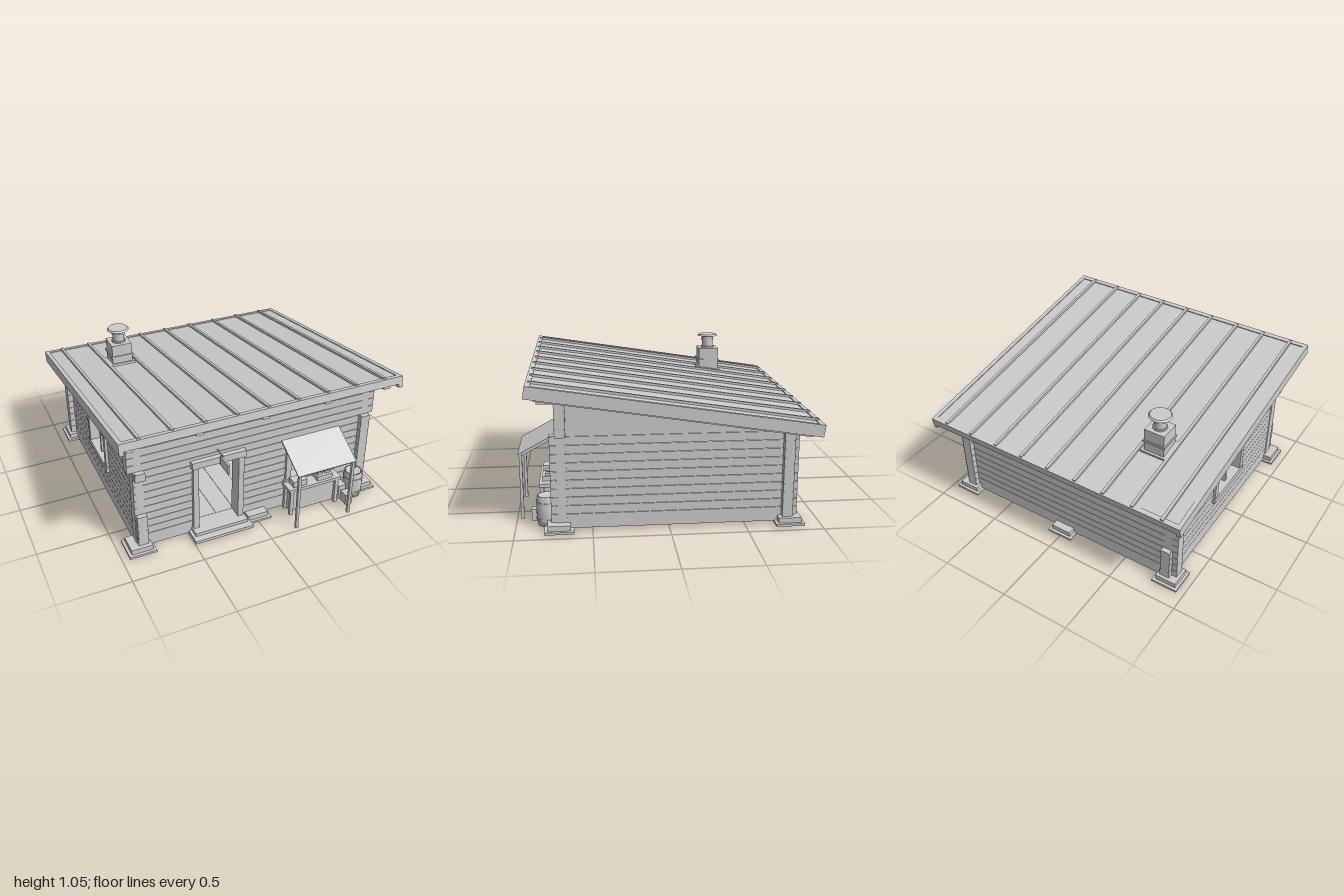
import * as THREE from 'three';

export function createModel() {
  const model = new THREE.Group();
  const grey = new THREE.MeshStandardMaterial({ color: 0xcccccc });
  grey.name = 'plain grey';

  const add = (name, geo, x, y, z, parent = model) => {
    const m = new THREE.Mesh(geo, grey);
    m.name = name;
    m.position.set(x, y, z);
    parent.add(m);
    return m;
  };
  // Box given by its minimum and maximum on each axis
  const box = (name, x0, x1, y0, y1, z0, z1, parent = model) =>
    add(name, new THREE.BoxGeometry(x1 - x0, y1 - y0, z1 - z0),
      (x0 + x1) / 2, (y0 + y1) / 2, (z0 + z1) / 2, parent);
  const group = (name, parent = model) => {
    const g = new THREE.Group();
    g.name = name;
    parent.add(g);
    return g;
  };

  // ---- Log walls: courses of squared logs with recessed chinking ----
  const COURSE = 0.0575, BASE = 0.06;
  const log = (parent, alongX, row, c0, c1, a, b) => {
    const y0 = BASE + row * COURSE, y1 = y0 + COURSE;
    const put = (name, lo, hi, inset) => alongX
      ? box(name, a, b, lo, hi, c0 + inset, c1 - inset, parent)
      : box(name, c0 + inset, c1 - inset, lo, hi, a, b, parent);
    put('log', y0, y1 - 0.003, 0);
    put('chinking', y1 - 0.003, y1, 0.008);
  };

  const front = group('frontWall');
  for (let r = 0; r < 14; r++) {
    let spans = [[-0.91, 0.91]];
    if (r === 9) spans = [[-0.875, 0.875]];
    else if (r < 3) spans = [[-0.875, -0.45], [-0.12, 0.875]];
    else if (r < 8) spans = [[-0.875, -0.45], [-0.12, 0.25], [0.58, 0.875]];
    else if (r < 9) spans = [[-0.875, -0.45], [-0.12, 0.875]];
    spans.forEach(([a, b]) => log(front, true, r, 0.66, 0.73, a, b));
  }
  const back = group('backWall');
  const plusSide = group('leftWall');
  const minusSide = group('rightWall');
  for (let r = 0; r < 10; r++) {
    log(back, true, r, -0.81, -0.74, -0.91, 0.91);
    log(plusSide, false, r, 0.80, 0.87, -0.845, 0.765);
    const spans = r > 3 && r < 9 ? [[-0.81, -0.23], [0.15, 0.73]] : [[-0.845, 0.765]];
    spans.forEach(([a, b]) => log(minusSide, false, r, -0.87, -0.80, a, b));
  }

  // Flat gable panels between the side logs and the sloping roof
  const gable = new THREE.Shape();
  gable.moveTo(0.73, 0.635);
  gable.lineTo(0.73, 0.91);
  gable.lineTo(-0.81, 0.67);
  gable.lineTo(-0.81, 0.635);
  for (const s of [-1, 1]) {
    const g = new THREE.ExtrudeGeometry(gable, { depth: 0.05, bevelEnabled: false });
    g.rotateY(-Math.PI / 2); // shape x becomes z, depth becomes -x
    add('gablePanel', g, s * 0.84 + 0.025, 0, 0);
  }

  // ---- Base: sills, floor and stepped footings ----
  const base = group('base');
  for (const z of [-0.775, 0.695]) box('sill', -0.87, 0.87, 0.018, 0.06, z - 0.035, z + 0.035, base);
  for (const x of [-0.835, 0, 0.835]) box('floorBeam', x - 0.035, x + 0.035, 0.018, 0.06, -0.74, 0.66, base);
  for (let i = 0; i < 12; i++) {
    const w = 1.6 / 12, x = -0.8 + i * w;
    box('floorPlank', x + 0.001, x + w - 0.001, 0.045, 0.062, -0.74, 0.66, base);
  }
  for (const x of [-0.855, 0, 0.855])
    for (const z of [-0.79, 0.715]) {
      box('footingSlab', x - 0.095, x + 0.095, 0.006, 0.022, z - 0.095, z + 0.095, base);
      box('footingBlock', x - 0.075, x + 0.075, 0.022, 0.057, z - 0.075, z + 0.075, base);
    }

  // ---- Sloping roof, built flat and then tilted ----
  const roof = group('roof');
  roof.position.set(0, 0.844, -0.04);
  roof.rotation.x = -Math.atan(0.155);
  const L = 0.947;
  box('roofSheet', -0.985, 0.985, -0.03, -0.006, -L + 0.01, L - 0.01, roof);
  box('frontFascia', -1, 1, -0.055, 0, L - 0.035, L, roof);
  box('backFascia', -1, 1, -0.055, 0, -L, -L + 0.035, roof);
  for (const s of [-1, 1]) {
    const a = s * 0.97, b = s;
    box('bargeBoard', Math.min(a, b), Math.max(a, b), -0.08, 0, -L, L, roof);
  }
  for (const x of [-0.92, -0.46, 0, 0.46, 0.92])
    box('rafter', x - 0.025, x + 0.025, -0.10, -0.03, -L + 0.05, L - 0.06, roof);
  for (let i = -4; i <= 4; i++)
    box('standingSeam', i * 0.217 - 0.01, i * 0.217 + 0.01, -0.01, 0.01, -L + 0.01, L - 0.015, roof);
  box('chimneyFlashing', -0.645, -0.455, -0.01, 0.01, -0.515, -0.335, roof);

  // ---- Chimney ----
  const chimney = group('chimney');
  box('chimneyStack', -0.625, -0.475, 0.74, 0.945, -0.535, -0.385, chimney);
  box('chimneyBand', -0.633, -0.467, 0.845, 0.86, -0.543, -0.377, chimney);
  const cyl = (name, r0, r1, h, x, y, z, parent, n = 24) =>
    add(name, new THREE.CylinderGeometry(r1, r0, h, n), x, y + h / 2, z, parent);
  cyl('flue', 0.042, 0.042, 0.1, -0.55, 0.94, -0.46, chimney);
  cyl('flueCollar', 0.05, 0.05, 0.012, -0.55, 0.945, -0.46, chimney);
  cyl('flueBand', 0.048, 0.048, 0.014, -0.55, 1.005, -0.46, chimney);
  cyl('flueCap', 0.08, 0.07, 0.012, -0.55, 1.04, -0.46, chimney);

  // ---- Door frame, steps and hanging board ----
  const door = group('doorway');
  for (const x of [-0.45, -0.12]) box('doorPost', x - 0.02, x + 0.02, 0.06, 0.57, 0.65, 0.755, door);
  box('doorLintel', -0.48, -0.09, 0.56, 0.61, 0.65, 0.765, door);
  box('lowerStep', -0.5, -0.07, 0.015, 0.037, 0.73, 0.86, door);
  box('upperStep', -0.48, -0.09, 0.037, 0.06, 0.70, 0.81, door);
  box('hangingBoard', -0.292, -0.278, 0.565, 0.635, 0.78, 0.905, door);
  box('boardBracket', -0.289, -0.281, 0.645, 0.653, 0.73, 0.81, door);
  for (const z of [0.79, 0.805]) box('boardHanger', -0.287, -0.283, 0.63, 0.65, z - 0.003, z + 0.003, door);

  // ---- Windows: frame, mullions and sill, facing +z before placing ----
  const windowFrame = (name, w, h, x, y, z, turn) => {
    const g = group(name);
    g.position.set(x, y, z);
    g.rotation.y = turn;
    for (const s of [-1, 1]) {
      box('windowJamb', s * w / 2 - 0.02, s * w / 2 + 0.02, -h / 2, h / 2, -0.075, 0.018, g);
      box('windowRail', -w / 2 - 0.03, w / 2 + 0.03, s * h / 2 - 0.02, s * h / 2 + 0.02, -0.075, 0.022, g);
    }
    box('mullion', -0.012, 0.012, -h / 2, h / 2, -0.04, -0.01, g);
    box('crossBar', -w / 2, w / 2, 0.03, 0.05, -0.04, -0.012, g);
  };
  windowFrame('frontWindow', 0.33, 0.288, 0.415, 0.376, 0.73, 0);
  windowFrame('sideWindow', 0.38, 0.288, -0.87, 0.434, -0.04, -Math.PI / 2);

  // ---- Awning over the stall ----
  const awning = group('awning');
  const tilt = Math.atan2(0.14, 0.255);
  const sheet = add('awningSheet', new THREE.BoxGeometry(0.45, 0.01, 0.285), 0.415, 0.515, 0.855, awning);
  sheet.rotation.x = tilt;
  for (const x of [0.21, 0.625]) {
    box('awningPost', x - 0.01, x + 0.01, 0, 0.45, 0.954, 0.974, awning);
    const brace = add('awningArm', new THREE.BoxGeometry(0.014, 0.014, 0.26), x, 0.505, 0.853, awning);
    brace.rotation.x = tilt;
  }
  box('awningRail', 0.2, 0.635, 0.435, 0.45, 0.957, 0.971, awning);

  // ---- Stall table with goods ----
  const table = group('table');
  box('tableTop', 0.21, 0.62, 0.212, 0.235, 0.735, 0.85, table);
  box('tablePanel', 0.24, 0.6, 0.02, 0.212, 0.745, 0.815, table);
  for (const x of [0.235, 0.595])
    for (const z of [0.75, 0.832]) box('tableLeg', x - 0.013, x + 0.013, 0.01, 0.212, z - 0.012, z + 0.012, table);
  box('goodsBox', 0.25, 0.355, 0.235, 0.28, 0.76, 0.83, table);
  box('goodsTray', 0.44, 0.56, 0.235, 0.27, 0.76, 0.83, table);
  for (const x of [0.47, 0.53]) box('goodsParcel', x - 0.02, x + 0.02, 0.27, 0.288, 0.77, 0.81, table);

  // ---- Barrel and crate ----
  const barrel = group('barrel');
  const profile = [[0, 0.01], [0.06, 0.01], [0.068, 0.06], [0.07, 0.11], [0.068, 0.16], [0.062, 0.212], [0.054, 0.212], [0.054, 0.2], [0, 0.2]];
  add('barrelBody', new THREE.LatheGeometry(profile.map(p => new THREE.Vector2(...p)), 16), 0.76, 0, 0.795, barrel);
  for (const y of [0.05, 0.16]) cyl('barrelHoop', 0.0715, 0.0715, 0.012, 0.76, y, 0.795, barrel, 16);
  box('crate', 0.645, 0.70, 0.01, 0.09, 0.83, 0.9);
  box('smallCrate', 0.635, 0.69, 0.01, 0.12, 0.75, 0.82);

  return model;
}
